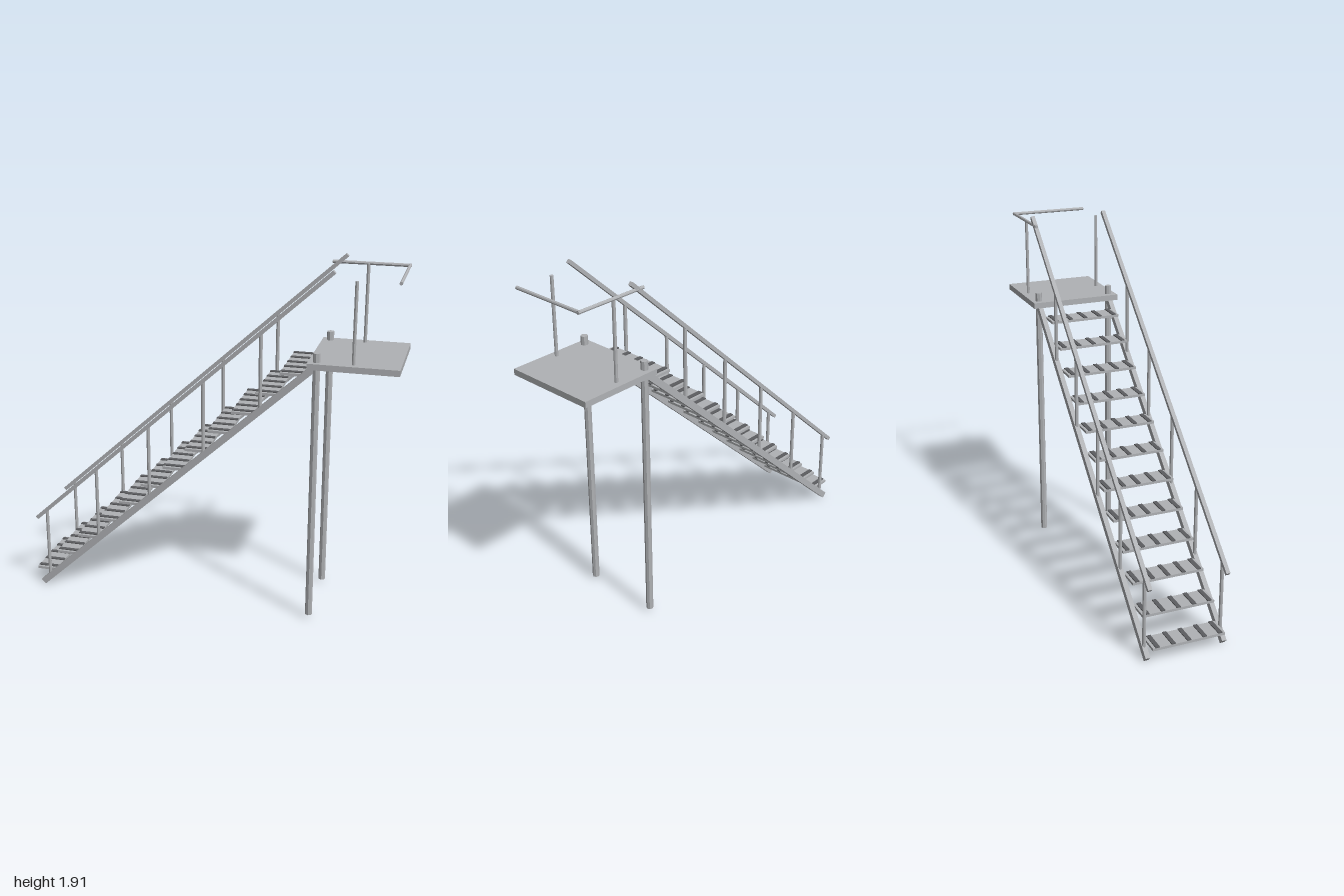
import * as THREE from 'three';

const metal = new THREE.MeshStandardMaterial({ color: 0xb0b2b5, flatShading: true });
metal.name = 'galvanised grey';
const grip = new THREE.MeshStandardMaterial({ color: 0x5c5d60, flatShading: true });
grip.name = 'dark grip grey';

const SIDE_Z = 0.211; // distance of rails, posts and legs from the centre line

function box(parent, name, size, pos, material = metal) {
  const mesh = new THREE.Mesh(new THREE.BoxGeometry(...size), material);
  mesh.position.set(...pos);
  mesh.name = name;
  parent.add(mesh);
  return mesh;
}

// Round bar between two points
function bar(parent, name, a, b, radius, sides = 8) {
  const from = new THREE.Vector3(...a), to = new THREE.Vector3(...b);
  const dir = to.clone().sub(from);
  const mesh = new THREE.Mesh(new THREE.CylinderGeometry(radius, radius, dir.length(), sides), metal);
  mesh.position.copy(from).add(to).multiplyScalar(0.5);
  mesh.quaternion.setFromUnitVectors(new THREE.Vector3(0, 1, 0), dir.normalize());
  mesh.name = name;
  parent.add(mesh);
}

// Square beam rising from (x0, y0) to (x1, y1) at a given z
function slopedBeam(parent, name, x0, y0, x1, y1, z, height, width) {
  const dx = x1 - x0, dy = y1 - y0;
  const mesh = box(parent, name, [Math.hypot(dx, dy), height, width], [(x0 + x1) / 2, (y0 + y1) / 2, z]);
  mesh.rotation.z = Math.atan2(dy, dx);
}

export function createModel() {
  const model = new THREE.Group();
  model.name = 'platformStairs';

  // Treads with raised grip strips
  const treads = new THREE.Group();
  treads.name = 'treads';
  model.add(treads);
  for (let i = 0; i < 12; i++) {
    const x = -0.942 + i * 0.1264, y = 0.087 + i * 0.1162;
    box(treads, 'tread', [0.116, 0.014, 0.396], [x, y, 0]);
    for (let s = -2; s <= 2; s++) {
      box(treads, 'gripStrip', [0.115, 0.006, 0.022], [x, y + 0.009, s * 0.086], grip);
    }
  }

  // Both sides: stringer, handrail, balusters, leg and platform post
  for (const side of [1, -1]) {
    const z = side * SIDE_Z;
    const group = new THREE.Group();
    group.name = side > 0 ? 'leftSide' : 'rightSide';
    model.add(group);
    slopedBeam(group, 'stringer', -0.96, 0.013, 0.57, 1.416, z, 0.035, 0.026);
    slopedBeam(group, 'handrail', -0.98, 0.41, 0.655, 1.907, z, 0.02, 0.022);
    for (let i = 0; i < 5; i++) {
      const x = -0.92 + i * 0.3035;
      const lower = 0.05 + i * 0.2785, upper = 0.46 + i * 0.2785;
      bar(group, 'baluster', [x, lower, z], [x, upper, z], 0.01);
    }
    bar(group, 'leg', [0.58, 0.02, z], [0.58, 1.493, z], 0.019);
    bar(group, 'platformPost', [0.765, 1.43, z], [0.765, 1.867, z], 0.009);
  }

  // Platform deck
  box(model, 'platform', [0.464, 0.032, 0.504], [0.768, 1.43, 0]);

  // Guard rail along the back and across the end
  bar(model, 'backGuardRail', [0.577, 1.868, -0.214], [0.984, 1.868, -0.214], 0.009);
  bar(model, 'endGuardRail', [0.976, 1.868, -0.22], [0.976, 1.868, 0.212], 0.009);

  return model;
}
